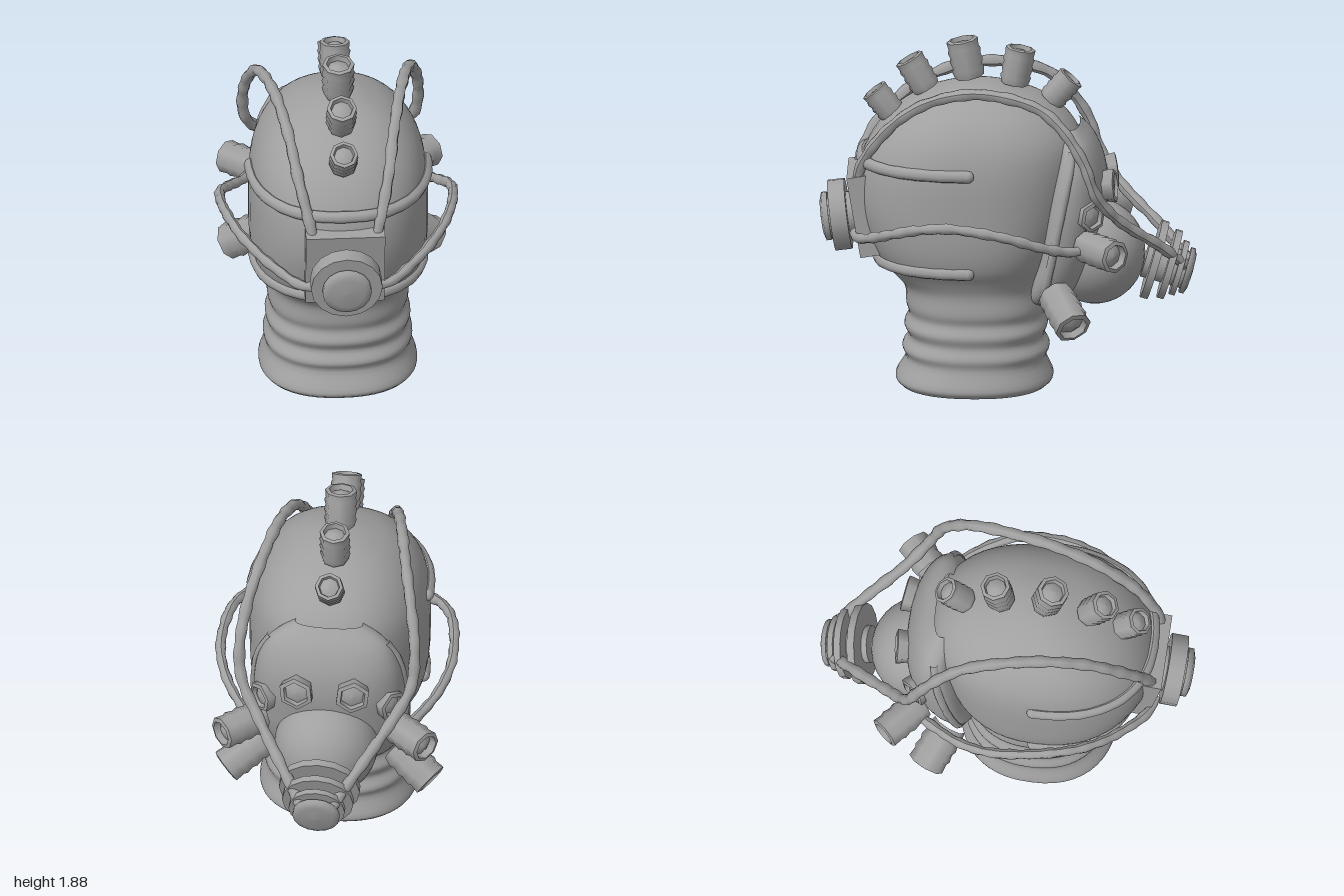
import * as THREE from 'three';

const grey = new THREE.MeshStandardMaterial({ color: 0xa0a0a0 });
const V = (x, y, z) => new THREE.Vector3(x, y, z);
const UP = V(0, 1, 0);

// Smoothly interpolated rows of [y, halfWidth, zCentre, zBack, zFront]
function sampleRows(rows) {
  const spline = (f) => new THREE.CatmullRomCurve3(rows.map(f), false, 'catmullrom', 0.5);
  const a = spline((r) => V(r[1], r[0], r[2])), b = spline((r) => V(r[3], r[4], 0));
  return (t) => {
    const p = a.getPoint(t), q = b.getPoint(t);
    return { rx: Math.max(p.x, 0), y: p.y, zc: p.z, zb: q.x, zf: q.y };
  };
}

// Point on a superelliptic cross-section, with separate back and front depth
function ringPoint(r, a, power) {
  const c = Math.cos(a), s = Math.sin(a);
  const e = (v) => Math.sign(v) * Math.pow(Math.abs(v), 2 / power);
  return V(r.rx * e(c), r.y, r.zc + (s > 0 ? r.zb - r.zc : r.zc - r.zf) * e(s));
}

// Skin over stacked cross-sections, bottom to top
function loft(rowAt, steps, sides, power) {
  const pos = [], index = [];
  for (let i = 0; i <= steps; i++) {
    const row = rowAt(i / steps);
    for (let j = 0; j < sides; j++) pos.push(...ringPoint(row, (j / sides) * Math.PI * 2, power).toArray());
  }
  for (let i = 0; i < steps; i++) {
    for (let j = 0; j < sides; j++) {
      const p = i * sides + j, q = i * sides + ((j + 1) % sides);
      index.push(p, p + sides, q, q, p + sides, q + sides);
    }
  }
  const g = new THREE.BufferGeometry();
  g.setAttribute('position', new THREE.Float32BufferAttribute(pos, 3));
  g.setIndex(index);
  g.computeVertexNormals();
  return g;
}

// Round hose with an uneven, lumpy skin
function hose(points, radius, lump, segments, sides = 8) {
  const curve = new THREE.CatmullRomCurve3(points);
  const g = new THREE.TubeGeometry(curve, segments, radius, sides);
  const p = g.attributes.position, v = V();
  for (let i = 0; i <= segments; i++) {
    const c = curve.getPointAt(i / segments);
    for (let j = 0; j <= sides; j++) {
      const k = i * (sides + 1) + j;
      const s = 1 + lump * (Math.sin(i * 1.5) + 0.6 * Math.sin(i * 0.7 + (j % sides) * 1.6));
      v.fromBufferAttribute(p, k).sub(c).multiplyScalar(s).add(c);
      p.setXYZ(k, v.x, v.y, v.z);
    }
  }
  g.computeVertexNormals();
  return g;
}

// Lathed part whose axis points along dir
function turned(profile, sides, at, dir) {
  const g = new THREE.LatheGeometry(profile.map(([x, y]) => new THREE.Vector2(x, y)), sides);
  g.applyQuaternion(new THREE.Quaternion().setFromUnitVectors(UP, dir.clone().normalize()));
  return g.translate(at.x, at.y, at.z);
}

// Sharp corners come from repeated profile points
const disc = (r, h) => [[0, -h], [r, -h], [r, -h], [r, h], [r, h], [0, h]];
const knobProfile = (r, h) => [
  [r * 0.9, -h], [r * 1.02, -h * 0.6], [r * 0.93, -h * 0.45], [r * 1.04, -h * 0.1], [r * 0.95, h * 0.1],
  [r * 1.04, h * 0.4], [r * 0.95, h * 0.55], [r, h * 0.95], [r, h * 0.95], [r * 0.76, h], [r * 0.76, h],
  [r * 0.68, h * 0.7], [r * 0.68, h * 0.7], [r * 0.35, h * 0.85], [0, h * 0.9],
];
const lensProfile = (r) => [
  [r * 0.9, -0.05], [r, 0], [r, 0.015], [r, 0.015], [r * 0.75, 0.02], [r * 0.75, 0.02],
  [r * 0.68, -0.005], [r * 0.68, -0.005], [r * 0.4, 0.008], [0, 0.012],
];

export function createModel() {
  const model = new THREE.Group();
  const add = (name, g) => {
    const m = new THREE.Mesh(g, grey);
    m.name = name;
    model.add(m);
    return m;
  };

  // Head and ringed neck
  const headRow = sampleRows([
    [0, 0.40, 0.18, 0.57, -0.21], [0.04, 0.42, 0.18, 0.595, -0.24], [0.14, 0.385, 0.17, 0.54, -0.2],
    [0.2, 0.395, 0.17, 0.56, -0.22], [0.26, 0.37, 0.17, 0.525, -0.19], [0.32, 0.385, 0.17, 0.55, -0.21],
    [0.38, 0.36, 0.17, 0.525, -0.19], [0.44, 0.375, 0.17, 0.54, -0.2], [0.54, 0.37, 0.18, 0.55, -0.19],
    [0.62, 0.40, 0.19, 0.62, -0.22], [0.7, 0.445, 0.2, 0.69, -0.26], [0.82, 0.47, 0.2, 0.75, -0.31],
    [1.0, 0.475, 0.2, 0.795, -0.36], [1.2, 0.47, 0.2, 0.785, -0.39], [1.35, 0.44, 0.2, 0.72, -0.385],
    [1.47, 0.375, 0.19, 0.62, -0.31], [1.56, 0.28, 0.18, 0.49, -0.19], [1.615, 0.17, 0.17, 0.35, -0.04],
    [1.64, 0.08, 0.16, 0.25, 0.07], [1.645, 0, 0.16, 0.16, 0.16],
  ]);
  add('head', loft(headRow, 76, 48, 2.3));
  const base = add('neckBase', new THREE.CircleGeometry(1, 48).rotateX(Math.PI / 2));
  base.scale.set(0.4, 1, 0.39);
  base.position.set(0, 0.001, 0.18);

  // Face mask and rounded muzzle
  const maskRows = [
    [0.45, 0.16, -0.19, -0.1, -0.25], [0.5, 0.28, -0.19, -0.1, -0.33], [0.6, 0.36, -0.21, -0.12, -0.41],
    [0.75, 0.395, -0.24, -0.16, -0.48], [0.9, 0.405, -0.27, -0.18, -0.51], [1.05, 0.4, -0.3, -0.2, -0.53],
    [1.2, 0.375, -0.33, -0.23, -0.515], [1.33, 0.31, -0.35, -0.25, -0.46], [1.42, 0.18, -0.33, -0.25, -0.38],
  ];
  add('faceMask', loft(sampleRows(maskRows), 32, 40, 2.3));
  add('muzzle', new THREE.SphereGeometry(0.28, 32, 24).scale(0.98, 1, 0.95).translate(0, 0.71, -0.46));

  // Straps wrapped around the rear of the head
  for (const [name, y] of [['upperStrap', 1.235], ['lowerStrap', 0.695]]) {
    let t = 0;
    while (headRow(t).y < y) t += 0.001;
    const row = headRow(t), pts = [];
    for (let i = 0; i <= 80; i++) {
      const p = ringPoint(row, (i / 80) * Math.PI, 2.3);
      if (p.z > 0.08) pts.push(p);
    }
    add(name, hose(pts, 0.033, 0.03, 60));
    for (const p of [pts[0], pts.at(-1)]) add(name + 'End', new THREE.SphereGeometry(0.033, 10, 8).translate(p.x, p.y, p.z));
  }

  // Breathing filter: stepped discs on a tilted axis
  const filterDir = V(0, -0.28, -0.96);
  add('filterCore', turned(disc(0.1, 0.11), 16, V(0, 0.64, -0.83), filterDir));
  for (const [r, h, y, z] of [[0.215, 0.02, 0.665, -0.775], [0.19, 0.018, 0.64, -0.855], [0.15, 0.015, 0.62, -0.905]])
    add('filterDisc', turned(disc(r, h), 16, V(0, y, z), filterDir));
  add('filterCap', turned([[0, -0.015], [0.125, -0.015], [0.125, -0.015], [0.125, 0.01], [0.09, 0.022], [0, 0.028]],
    16, V(0, 0.605, -0.95), filterDir));

  // Rear plate with its round canister
  const plate = add('rearPlate', new THREE.BoxGeometry(0.42, 0.44, 0.12));
  plate.position.set(0, 0.945, 0.755);
  plate.rotation.x = 0.17;
  const rearDir = V(0, -0.13, 0.99);
  add('rearCore', turned(disc(0.12, 0.08), 16, V(0, 0.9, 0.88), rearDir));
  add('rearDisc', turned(disc(0.19, 0.045), 16, V(0, 0.9, 0.89), rearDir));
  add('rearCap', turned([[0, -0.02], [0.13, -0.02], [0.13, -0.02], [0.13, 0.01], [0.09, 0.022], [0, 0.028]],
    16, V(0, 0.89, 0.965), rearDir));

  // Row of knobs over the crown: [y, z, dirY, dirZ, radius, halfLength]
  for (const [y, z, dy, dz, r, h] of [
    [1.52, 0.66, 0.78, 0.62, 0.075, 0.085], [1.68, 0.48, 0.86, 0.5, 0.08, 0.095], [1.765, 0.225, 0.98, 0.2, 0.085, 0.105],
    [1.725, -0.05, 0.98, -0.17, 0.08, 0.1], [1.6, -0.28, 0.75, -0.65, 0.075, 0.085],
  ]) add('crownKnob', turned(knobProfile(r, h), 8, V(0, y, z), V(0, dy, dz)));

  // Mirrored parts
  for (const s of [1, -1]) {
    add('cheekKnob', turned(knobProfile(0.09, 0.13), 8, V(s * 0.45, 0.83, -0.5), V(s * 0.75, -0.03, -0.66)));
    add('jawKnob', turned(knobProfile(0.1, 0.13), 8, V(s * 0.45, 0.5, -0.31), V(s * 0.75, -0.52, -0.4)));
    add('eyeLens', turned(lensProfile(0.095), 6, V(s * 0.15, 1.11, -0.555), V(s * 0.12, 0.1, -1)));
    add('sideLens', turned(lensProfile(0.085), 6, V(s * 0.345, 0.99, -0.45), V(s * 0.75, 0, -0.66)));
    add('maskRim', hose(maskRows.slice(1, 8).map((r) => V(s * (r[1] - 0.004), r[0], r[2])), 0.022, 0.03, 30));
    add('upperHose', hose([
      [0.08, 0.66, -0.94], [0.2, 0.8, -0.8], [0.35, 0.97, -0.6], [0.45, 1.13, -0.48], [0.465, 1.32, -0.41],
      [0.435, 1.5, -0.29], [0.4, 1.6, -0.16], [0.335, 1.655, 0.17], [0.28, 1.57, 0.46], [0.235, 1.39, 0.67],
      [0.185, 1.2, 0.78], [0.165, 1.08, 0.8],
    ].map(([x, y, z]) => V(s * x, y, z)), 0.03, 0.09, 90));
    add('lowerHose', hose([
      [0.14, 0.84, 0.81], [0.22, 0.83, 0.79], [0.37, 0.88, 0.67], [0.51, 0.95, 0.5], [0.59, 0.985, 0.3],
      [0.615, 0.945, 0], [0.56, 0.88, -0.18], [0.47, 0.83, -0.33], [0.41, 0.83, -0.43],
    ].map(([x, y, z]) => V(s * x, y, z)), 0.027, 0.09, 64));
  }
  return model;
}
